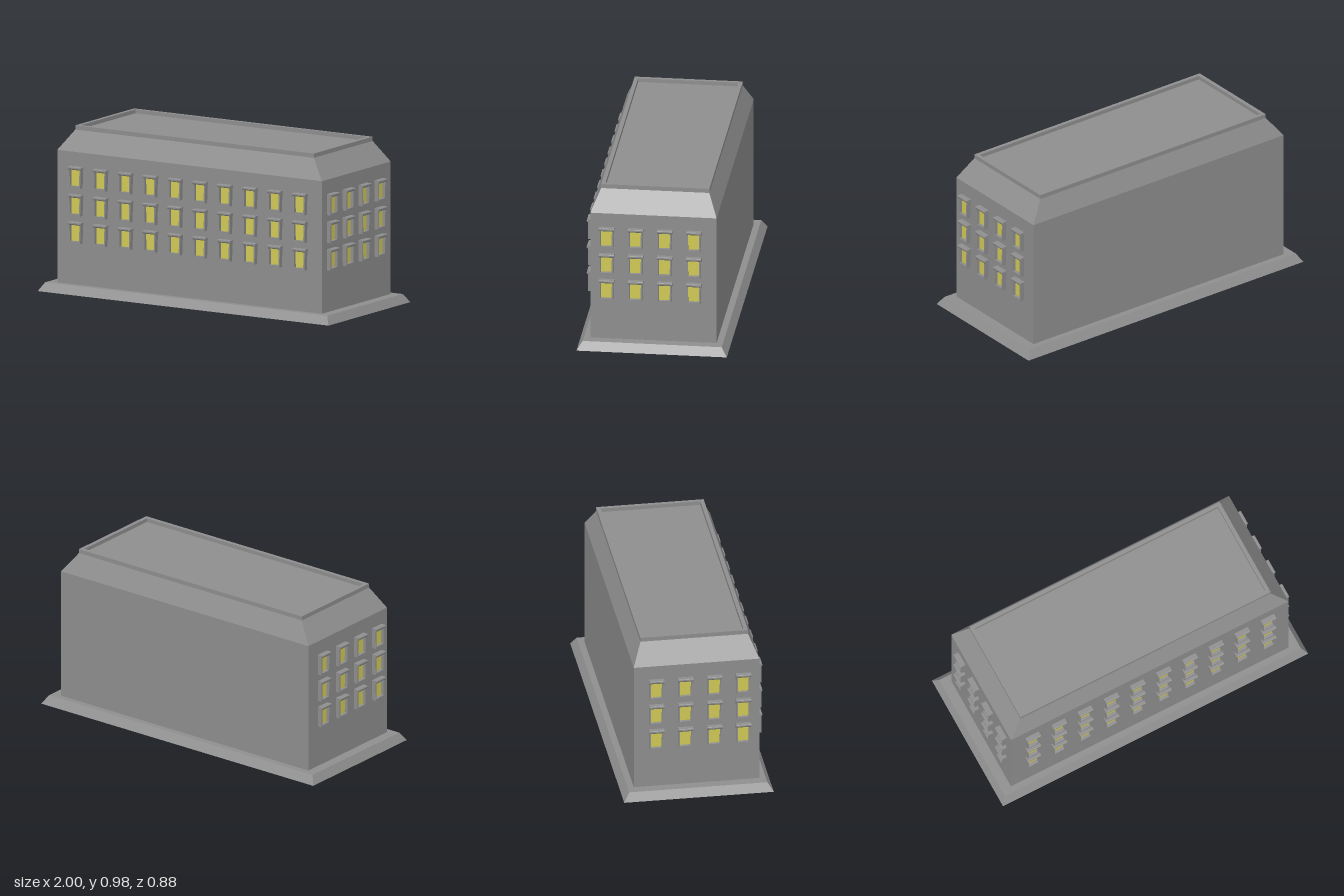
import * as THREE from 'three';

const stone = new THREE.MeshStandardMaterial({ color: 0x8e8e8e });
stone.name = 'grey stone';
const glow = new THREE.MeshStandardMaterial({ color: 0xd0c956 });
glow.name = 'yellow window';

// Skin a stack of rectangular rings [halfX, y, halfZ], capped at both ends
function loft(rings) {
  const corners = rings.map(([x, y, z]) => [[x, y, z], [x, y, -z], [-x, y, -z], [-x, y, z]]);
  const pos = [];
  const quad = (a, b, c, d) => pos.push(...a, ...b, ...c, ...a, ...c, ...d);
  for (let r = 0; r < corners.length - 1; r++) {
    const lo = corners[r], hi = corners[r + 1];
    for (let i = 0; i < 4; i++) {
      const j = (i + 1) % 4;
      quad(lo[i], lo[j], hi[j], hi[i]);
    }
  }
  quad(...corners[corners.length - 1]);
  quad(...[...corners[0]].reverse());
  const g = new THREE.BufferGeometry();
  g.setAttribute('position', new THREE.Float32BufferAttribute(pos, 3));
  g.computeVertexNormals();
  return g;
}

function part(name, geometry, material) {
  const m = new THREE.Mesh(geometry, material);
  m.name = name;
  return m;
}

const points = (list) => list.map(([x, y]) => new THREE.Vector2(x, y));

// Slightly crooked window surround
const surround = new THREE.Shape(points([[-0.042, -0.063], [0.038, -0.063], [0.043, 0.061], [-0.043, 0.061]]));
surround.holes.push(new THREE.Path(points([[-0.033, -0.053], [-0.034, 0.049], [0.033, 0.049], [0.03, -0.051]])));
const frameGeo = new THREE.ExtrudeGeometry(surround, { depth: 0.026, bevelEnabled: false });

// Small sloping lip over the window
const lip = new THREE.Shape(points([[0, 0.044], [0.028, 0.044], [0.032, 0.05], [0.032, 0.058], [0.028, 0.061], [0, 0.061]]));
const lipGeo = new THREE.ExtrudeGeometry(lip, { depth: 0.088, bevelEnabled: false });
lipGeo.rotateY(-Math.PI / 2);
lipGeo.translate(0.045, 0, 0);

// Glowing pane set back inside the surround
const paneGeo = new THREE.BoxGeometry(0.072, 0.108, 0.006);
paneGeo.translate(0, -0.001, 0.004);

function makeWindow() {
  const w = new THREE.Group();
  w.name = 'window';
  w.add(part('windowFrame', frameGeo, stone), part('windowLip', lipGeo, stone), part('windowPane', paneGeo, glow));
  return w;
}

const rows = [0.685, 0.521, 0.36];

// Grid of windows on one wall
function windowWall(name, columns, place) {
  const wall = new THREE.Group();
  wall.name = name;
  for (const y of rows) {
    for (const c of columns) {
      const w = makeWindow();
      place(w, c);
      w.position.y = y;
      wall.add(w);
    }
  }
  return wall;
}

export function createModel() {
  const model = new THREE.Group();
  model.name = 'building';

  // Sloped plinth
  model.add(part('plinth', loft([[1, 0, 0.438], [0.97, 0.05, 0.405]]), stone));

  // Walls, hipped roof slope and parapet around a sunken flat roof
  model.add(part('walls', loft([[0.91, 0.045, 0.368], [0.91, 0.83, 0.368]]), stone));
  model.add(part('roof', loft([
    [0.91, 0.83, 0.368], [0.82, 0.95, 0.315], [0.82, 0.975, 0.315],
    [0.797, 0.975, 0.292], [0.797, 0.952, 0.292],
  ]), stone));

  // Windows on the front and both ends; the back stays blank
  const frontColumns = Array.from({ length: 10 }, (_, i) => -0.774 + i * 0.1713);
  const sideColumns = [0.272, 0.103, -0.067, -0.237];
  model.add(windowWall('frontWindows', frontColumns, (w, c) => w.position.set(c, 0, 0.368)));
  for (const s of [1, -1]) {
    model.add(windowWall(s > 0 ? 'leftWindows' : 'rightWindows', sideColumns, (w, c) => {
      w.position.set(s * 0.91, 0, c);
      w.rotation.y = s * Math.PI / 2;
    }));
  }
  return model;
}
